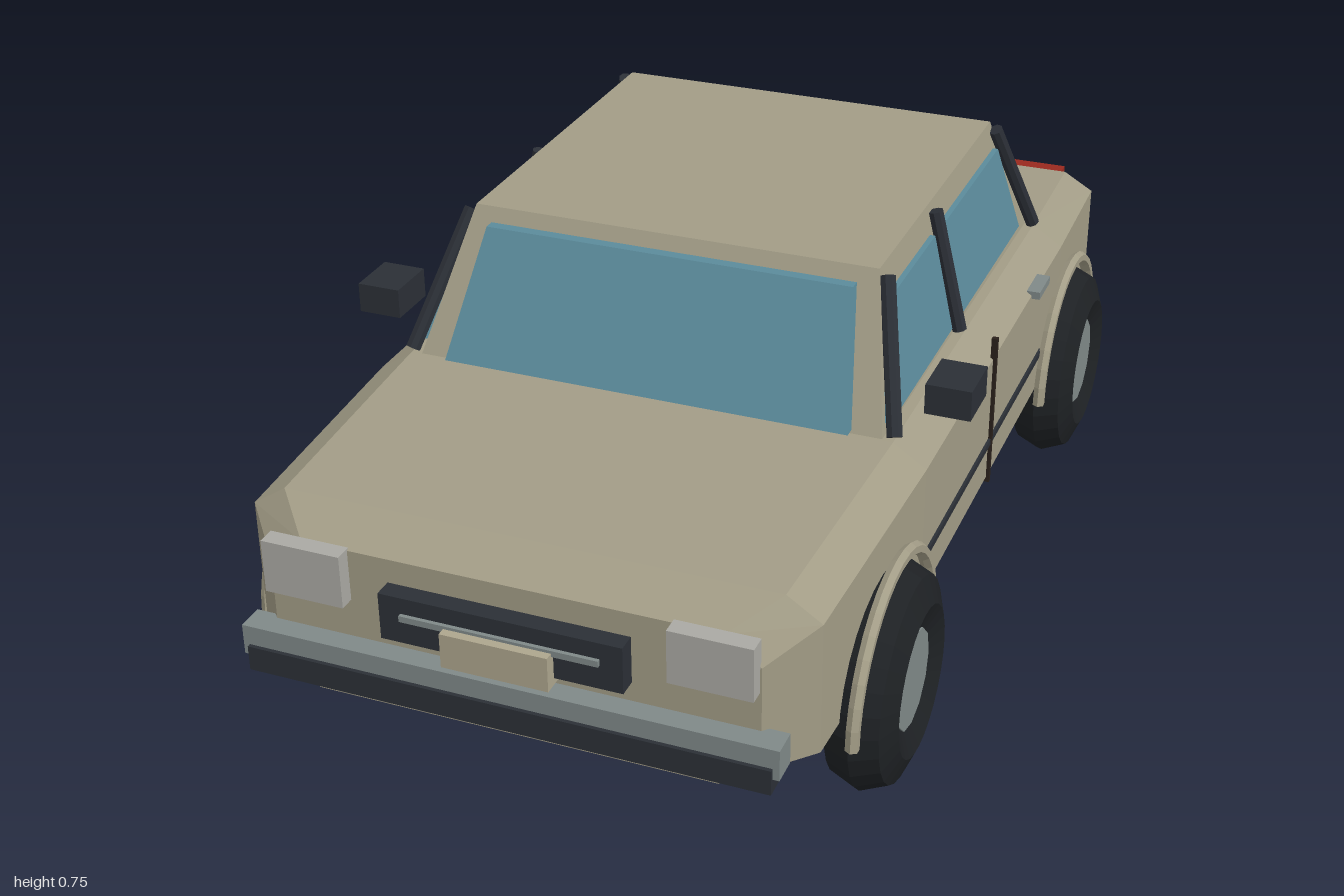
import * as THREE from 'three';
import { ConvexGeometry } from 'three/addons/geometries/ConvexGeometry.js';

const mat = (color) => new THREE.MeshStandardMaterial({ color, flatShading: true });
const V = (x, y, z) => new THREE.Vector3(x, y, z);

export function createModel() {
  const car = new THREE.Group();
  car.name = 'car';
  const paint = mat(0xa29c86), glass = mat(0x5b8b9b), dark = mat(0x2b2f36), rubber = mat(0x1e2124);
  const chrome = mat(0x7f8988), lamp = mat(0xaaa9a3), red = mat(0x99291f), plate = mat(0xada58d), seam = mat(0x2a211b);

  const add = (name, geo, material, parent = car) => {
    const m = new THREE.Mesh(geo, material);
    m.name = name;
    parent.add(m);
    return m;
  };
  // box given by its extents
  const box = (name, x0, x1, y0, y1, z0, z1, material) => {
    const m = add(name, new THREE.BoxGeometry(x1 - x0, y1 - y0, z1 - z0), material);
    m.position.set((x0 + x1) / 2, (y0 + y1) / 2, (z0 + z1) / 2);
    return m;
  };
  const rod = (name, a, b, r, material) => {
    const m = add(name, new THREE.CylinderGeometry(r, r, a.distanceTo(b), 8), material);
    m.position.copy(a).lerp(b, 0.5);
    m.quaternion.setFromUnitVectors(V(0, 1, 0), b.clone().sub(a).normalize());
    return m;
  };

  // Lower body: chamfered cross-sections [z, half width, shoulder y, top y]
  const hull = [];
  for (const [z, w, shoulder, top] of [
    [-0.945, 0.44, 0.40, 0.44], [-0.895, 0.495, 0.445, 0.48], [-0.55, 0.51, 0.465, 0.504],
    [0.4, 0.51, 0.47, 0.51], [0.87, 0.49, 0.457, 0.497], [0.945, 0.42, 0.41, 0.457],
  ]) {
    for (const s of [-1, 1]) {
      hull.push(V(s * (w - 0.07), 0.175, z), V(s * w, 0.22, z), V(s * w, shoulder, z), V(s * (w - 0.06), top, z));
    }
  }
  add('body', new ConvexGeometry(hull), paint);

  // Cabin: slanted surfaces described as functions of height
  const sideX = (y) => 0.43 - 0.2245 * (y - 0.51);
  const frontZ = (y) => 0.395 - 0.55 * (y - 0.51);
  const rearZ = (y) => -0.555 + 0.45 * (y - 0.51);
  const cabin = [];
  for (const y of [0.48, 0.755]) {
    for (const s of [-1, 1]) cabin.push(V(s * sideX(y), y, frontZ(y)), V(s * sideX(y), y, rearZ(y)));
  }
  add('cabin', new ConvexGeometry(cabin), paint);

  // Windshield and rear window
  const screen = (name, zAt, dir, wBottom, wTop) => {
    const pts = [];
    for (const [y, w] of [[0.515, wBottom], [0.73, wTop]]) {
      for (const s of [-1, 1]) for (const d of [-0.01, 0.02]) pts.push(V(s * w, y, zAt(y) + dir * d));
    }
    add(name, new ConvexGeometry(pts), glass);
  };
  screen('windshield', frontZ, 1, 0.375, 0.34);
  screen('rearWindow', rearZ, -1, 0.365, 0.35);

  // Side windows, [z bottom, z top] of each end
  const sideWindow = (name, s, ends) => {
    const pts = [];
    for (const end of ends) {
      [0.527, 0.705].forEach((y, i) => {
        for (const d of [-0.01, 0.01]) pts.push(V(s * (sideX(y) + d), y, end[i]));
      });
    }
    add(name, new ConvexGeometry(pts), glass);
  };

  for (const [side, s] of [['left', 1], ['right', -1]]) {
    const span = (a, b) => (s > 0 ? [a, b] : [-b, -a]);
    sideWindow(side + 'FrontWindow', s, [[0.37, 0.265], [-0.005, -0.005]]);
    sideWindow(side + 'BackWindow', s, [[-0.06, -0.06], [-0.485, -0.435]]);

    // Pillars
    rod(side + 'FrontPillar', V(s * 0.45, 0.515, 0.39), V(s * 0.388, 0.742, 0.255), 0.014, dark);
    rod(side + 'MiddlePillar', V(s * 0.443, 0.515, -0.03), V(s * 0.388, 0.742, -0.03), 0.014, dark);
    rod(side + 'RearPillar', V(s * 0.45, 0.515, -0.54), V(s * 0.388, 0.742, -0.44), 0.014, dark);

    // Door details
    box(side + 'DoorSeam', ...span(0.505, 0.516), 0.21, 0.51, -0.035, -0.025, seam);
    box(side + 'SideTrim', ...span(0.5, 0.515), 0.291, 0.303, -0.41, 0.41, dark);
    for (const z of [0.14, -0.35]) {
      box(side + 'DoorHandle', ...span(0.5, 0.526), 0.46, 0.475, z - 0.04, z + 0.04, chrome);
    }
    box(side + 'Mirror', ...span(0.49, 0.57), 0.553, 0.608, 0.262, 0.36, dark);

    // Lamps
    box(side + 'Headlight', ...span(0.277, 0.417), 0.365, 0.46, 0.94, 0.972, lamp);
    box(side + 'TailLight', ...span(0.277, 0.417), 0.365, 0.46, -0.972, -0.935, red);

    // Wheels and arches
    for (const [end, z] of [['Front', 0.603], ['Rear', -0.592]]) {
      const wheel = new THREE.Group();
      wheel.name = side + end + 'Wheel';
      wheel.position.set(s * 0.51, 0.195, z);
      wheel.rotation.y = Math.PI / 2;
      car.add(wheel);
      add('tyre', new THREE.TorusGeometry(0.13, 0.065, 8, 28), rubber, wheel);
      add('hub', new THREE.CylinderGeometry(0.087, 0.087, 0.1, 12), chrome, wheel).rotation.x = Math.PI / 2;
      const arch = add(side + end + 'WheelArch', new THREE.TorusGeometry(0.213, 0.012, 6, 18, Math.PI), paint);
      arch.position.set(s * 0.524, 0.195, z);
      arch.rotation.y = Math.PI / 2;
    }
  }

  // Bumpers and number plates at both ends
  for (const [end, s] of [['front', 1], ['rear', -1]]) {
    const span = (a, b) => (s > 0 ? [a, b] : [-b, -a]);
    box(end + 'Bumper', -0.463, 0.463, 0.24, 0.295, ...span(0.935, 0.983), chrome);
    box(end + 'BumperStrip', -0.452, 0.452, 0.215, 0.26, ...span(0.935, 0.99), dark);
    box(end + 'Plate', -0.092, 0.092, 0.318, 0.38, ...span(0.94, 1.0), plate);
  }

  // Grille
  box('grille', -0.208, 0.208, 0.33, 0.414, 0.94, 0.978, dark);
  box('grilleBar', -0.17, 0.17, 0.374, 0.385, 0.97, 0.985, chrome);

  // Boot lid
  box('bootSeam', -0.32, 0.32, 0.412, 0.422, -0.955, -0.93, seam);
  box('bootHandle', -0.06, 0.06, 0.425, 0.445, -0.965, -0.92, chrome);

  return car;
}
